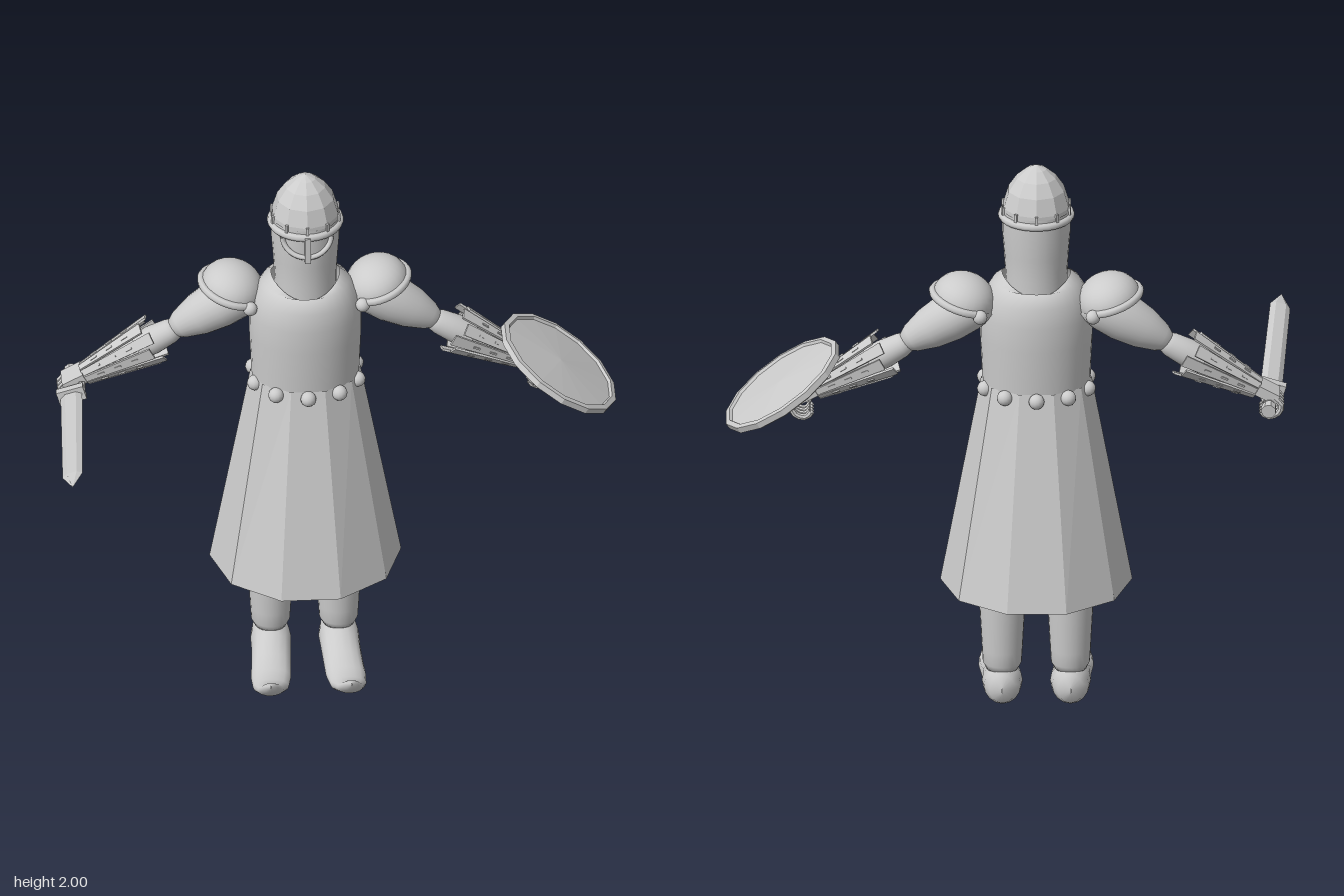
import * as THREE from 'three';

const smooth = new THREE.MeshStandardMaterial({ color: 0xcccccc, side: THREE.DoubleSide });
const flat = new THREE.MeshStandardMaterial({ color: 0xcccccc, side: THREE.DoubleSide, flatShading: true });
const V = (x, y, z = 0) => new THREE.Vector3(x, y, z);

function add(parent, name, geo, mat = smooth, pos = [0, 0, 0]) {
  const m = new THREE.Mesh(geo, mat);
  m.name = name;
  m.position.set(...pos);
  parent.add(m);
  return m;
}

// Surface through closed rings; point(section, angle) gives each corner
function loft(sections, n, point) {
  const pos = [], idx = [];
  sections.forEach((s, i) => {
    for (let j = 0; j < n; j++) {
      pos.push(...point(s, (j / n) * Math.PI * 2));
      if (i === sections.length - 1) continue;
      const k = (j + 1) % n, a = i * n + j, b = i * n + k;
      idx.push(a, b, b + n, a, b + n, a + n);
    }
  });
  const g = new THREE.BufferGeometry();
  g.setAttribute('position', new THREE.Float32BufferAttribute(pos, 3));
  g.setIndex(idx);
  g.computeVertexNormals();
  return g;
}

const lathe = (pts, n = 24) => new THREE.LatheGeometry(pts.map(p => new THREE.Vector2(...p)), n);
const tube = (pts, r, n = 16) => new THREE.TubeGeometry(new THREE.CatmullRomCurve3(pts), n, r, 8);
const aim = (m, dir) => { m.quaternion.setFromUnitVectors(V(0, 1), dir.clone().normalize()); return m; };

// Round limb from a to b; profile rows are [radius, fraction of length]
function limb(parent, name, a, b, profile) {
  const d = b.clone().sub(a), L = d.length();
  const m = add(parent, name, lathe(profile.map(([r, t]) => [r, t * L])), smooth, a.toArray());
  return aim(m, d);
}

function makeHead(body) {
  add(body, 'coif', lathe([[0.11, 1.5], [0.107, 1.6], [0.112, 1.68], [0.118, 1.76], [0.118, 1.84]]));
  add(body, 'helmet', lathe([[0.12, 1.8], [0.118, 1.85], [0.1, 1.91], [0.07, 1.955], [0.035, 1.985], [0, 2]], 10), flat);
  add(body, 'helmetBand', new THREE.TorusGeometry(0.118, 0.014, 8, 30), smooth, [0, 1.815, 0]).rotation.x = Math.PI / 2;
  for (let i = 0; i < 10; i++) {
    const a = (i / 10) * Math.PI * 2;
    const r = add(body, 'helmetRib', new THREE.BoxGeometry(0.01, 0.05, 0.01), flat, [Math.sin(a) * 0.119, 1.83, Math.cos(a) * 0.119]);
    r.rotation.y = a;
  }
  // Eye guard curving round the face, with nose bar
  const guard = [];
  for (let i = 0; i <= 12; i++) {
    const t = (i / 12) * Math.PI, a = -0.75 * Math.cos(t);
    guard.push(V(Math.sin(a) * 0.124, 1.805 - 0.068 * Math.sin(t), Math.cos(a) * 0.124));
  }
  add(body, 'eyeGuard', tube(guard, 0.009, 24));
  add(body, 'noseBar', new THREE.BoxGeometry(0.02, 0.1, 0.018), flat, [0, 1.77, 0.128]);
}

function makeTrunk(body) {
  // Tunic with a neckline dipping at front and back
  const rows = [[1.18, 0.186, 0.152], [1.25, 0.188, 0.156], [1.36, 0.193, 0.163], [1.45, 0.194, 0.166],
    [1.52, 0.18, 0.158], [1.57, 0.15, 0.135], [1.6, 0.118, 0.112, 0.05]];
  add(body, 'tunic', loft(rows, 32, ([y, rx, rz, dip = 0], a) =>
    [Math.sin(a) * rx, y - dip * Math.cos(a) ** 2, Math.cos(a) * rz]));
  // Ten-sided skirt
  const shift = Math.PI / 10;
  add(body, 'skirt', loft([[0.44, 0.33, 0.318], [1.2, 0.19, 0.16]], 10, ([y, rx, rz], a) =>
    [Math.sin(a + shift) * rx, y, Math.cos(a + shift) * rz]), flat);
  for (let i = 0; i < 10; i++) {
    const a = (i / 10) * Math.PI * 2;
    add(body, 'beltStud', new THREE.SphereGeometry(0.027, 14, 10), smooth, [Math.sin(a) * 0.186, 1.18, Math.cos(a) * 0.165]);
  }
}

function makeLeg(body, s) {
  add(body, 'leg', lathe([[0, 0.12], [0.055, 0.125], [0.067, 0.15], [0.07, 0.2], [0.078, 0.35], [0.08, 0.45],
    [0.078, 0.7], [0.07, 0.95], [0, 0.97]]), smooth, [s * 0.117, 0, -0.04]);
  // Curled shoe: z, bottom, top, half width
  const rows = [[-0.12, 0.06, 0.08, 0.001], [-0.11, 0.02, 0.125, 0.045], [-0.08, 0.004, 0.143, 0.063],
    [-0.03, 0, 0.143, 0.07], [0.03, 0, 0.125, 0.068], [0.1, 0.003, 0.09, 0.068], [0.17, 0.002, 0.073, 0.069],
    [0.23, 0.008, 0.07, 0.062], [0.28, 0.035, 0.087, 0.045], [0.307, 0.065, 0.108, 0.025], [0.316, 0.09, 0.1, 0.001]];
  add(body, 'shoe', loft(rows, 16, ([z, lo, hi, w], a) => [
    s * (0.117 + 0.07 * Math.max(0, z)) + Math.cos(a) * w, (lo + hi) / 2 + Math.sin(a) * (hi - lo) / 2, z]));
}

function makeArm(body, s) {
  // Built pointing to +x, turned round for the other side
  const arm = new THREE.Group();
  arm.name = s > 0 ? 'leftArm' : 'rightArm';
  arm.position.z = -0.045;
  arm.rotation.y = s > 0 ? 0 : Math.PI;
  body.add(arm);
  limb(arm, 'upperArm', V(0.16, 1.53), V(0.465, 1.345),
    [[0, 0], [0.07, 0.06], [0.084, 0.25], [0.085, 0.45], [0.073, 0.68], [0.05, 0.88], [0.03, 0.97], [0, 1]]);
  const elbow = V(0.42, 1.365), wrist = V(0.76, 1.178), dir = wrist.clone().sub(elbow).normalize();
  limb(arm, 'forearm', elbow, wrist, [[0, 0], [0.03, 0.03], [0.043, 0.12], [0.05, 0.3], [0.045, 0.6], [0.03, 1], [0, 1]]);

  // Bracer of flared, uneven plates
  const bracer = new THREE.Group();
  bracer.name = 'bracer';
  bracer.position.copy(wrist);
  aim(bracer, dir.clone().negate());
  arm.add(bracer);
  add(bracer, 'bracerCore', new THREE.CylinderGeometry(0.06, 0.032, 0.22, 10, 1, true), flat, [0, 0.11, 0]);
  for (let i = 0; i < 10; i++) {
    const pivot = new THREE.Group(), L = i % 2 ? 0.265 : 0.29;
    pivot.name = 'bracerPlate';
    pivot.rotation.y = (i / 10) * Math.PI * 2;
    bracer.add(pivot);
    const g = new THREE.BoxGeometry(0.042, L, 0.008), p = g.attributes.position;
    for (let k = 0; k < p.count; k++) if (p.getY(k) < 0) p.setX(k, p.getX(k) * 0.5);
    g.computeVertexNormals();
    add(pivot, 'plate', g, flat, [0, L / 2, 0.058]).rotation.x = 0.17;
    for (let k = 1; k < 4; k++)
      add(pivot, 'plateRivet', new THREE.BoxGeometry(0.006, 0.025, 0.008), flat, [0, k * 0.065, 0.038 + k * 0.011]).rotation.x = 0.17;
  }

  // Shoulder guard: tilted dome, outer rim, end studs
  const guard = new THREE.Group();
  guard.name = 'shoulderGuard';
  guard.position.set(0.25, 1.515, 0);
  guard.rotation.z = 0.29;
  arm.add(guard);
  const dome = add(guard, 'dome', new THREE.SphereGeometry(1, 24, 10, 0, Math.PI * 2, 0, Math.PI / 2));
  dome.scale.set(0.11, 0.092, 0.118);
  const rim = [];
  for (let i = 0; i <= 12; i++) {
    const a = -2 + (i / 12) * 4;
    rim.push(V(Math.cos(a) * 0.11, 0, Math.sin(a) * 0.118));
  }
  add(guard, 'rim', tube(rim, 0.014, 28));
  for (const z of [-1, 1]) add(guard, 'rimStud', new THREE.SphereGeometry(0.025, 14, 10), smooth, [-0.06, -0.005, z * 0.108]);

  // Hand with curled fingers
  const hand = new THREE.Group();
  hand.name = 'hand';
  hand.position.copy(wrist);
  hand.rotation.z = Math.atan2(dir.y, dir.x);
  arm.add(hand);
  add(hand, 'palm', new THREE.BoxGeometry(0.08, 0.036, 0.09), flat, [0.035, 0.006, 0]);
  for (let i = 0; i < 4; i++) {
    const z = -0.036 + i * 0.024;
    add(hand, 'finger', tube([V(0.06, 0.008, z), V(0.095, -0.005, z), V(0.098, -0.04, z), V(0.07, -0.065, z), V(0.045, -0.055, z)], 0.012, 8), flat);
  }
  add(hand, 'thumb', tube([V(0.01, 0, s * 0.04), V(0.03, -0.03, s * 0.058), V(0.06, -0.05, s * 0.045)], 0.013, 6), flat);
}

function makeSword(root) {
  const sword = new THREE.Group();
  sword.name = 'sword';
  sword.position.set(-0.907, 1.145, -0.17);
  sword.lookAt(-0.945, 1.2, 0.485);
  sword.rotateZ(0.3);
  root.add(sword);
  const rows = [[0, 0.001, 0.001], [0, 0.039, 0.015], [0.575, 0.036, 0.013], [0.658, 0.001, 0.001]];
  add(sword, 'blade', loft(rows, 6, ([z, w, t], a) => [Math.cos(a) * w, Math.sin(a) * t, z]), flat);
  add(sword, 'crossGuard', new THREE.BoxGeometry(0.095, 0.05, 0.03), flat);
  add(sword, 'grip', new THREE.CylinderGeometry(0.018, 0.018, 0.16, 8), flat, [0, 0, -0.08]).rotation.x = Math.PI / 2;
  add(sword, 'pommel', new THREE.CylinderGeometry(0.026, 0.026, 0.035, 8), flat, [0, 0, -0.155]).rotation.x = Math.PI / 2;
}

function makeShield(root) {
  const shield = new THREE.Group();
  shield.name = 'shield';
  shield.position.set(0.77, 1.172, -0.207);
  aim(shield, V(0.575, 0.82));
  root.add(shield);
  add(shield, 'shieldFace', lathe([[0, -0.012], [0.22, -0.016], [0.236, -0.008], [0.236, 0.014],
    [0.218, 0.017], [0.212, 0.008], [0, 0.02]], 14), flat);
  // Arm strap on the back
  add(shield, 'strap', tube([V(-0.06, -0.012, -0.05), V(-0.06, -0.05, 0), V(-0.06, -0.012, 0.05)], 0.01, 10));
}

export function createModel() {
  const root = new THREE.Group();
  root.name = 'knight';
  const body = new THREE.Group();
  body.name = 'body';
  body.position.set(-0.1, 0, -0.2);
  root.add(body);
  makeHead(body);
  makeTrunk(body);
  for (const s of [-1, 1]) {
    makeLeg(body, s);
    makeArm(body, s);
  }
  makeSword(root);
  makeShield(root);
  return root;
}
